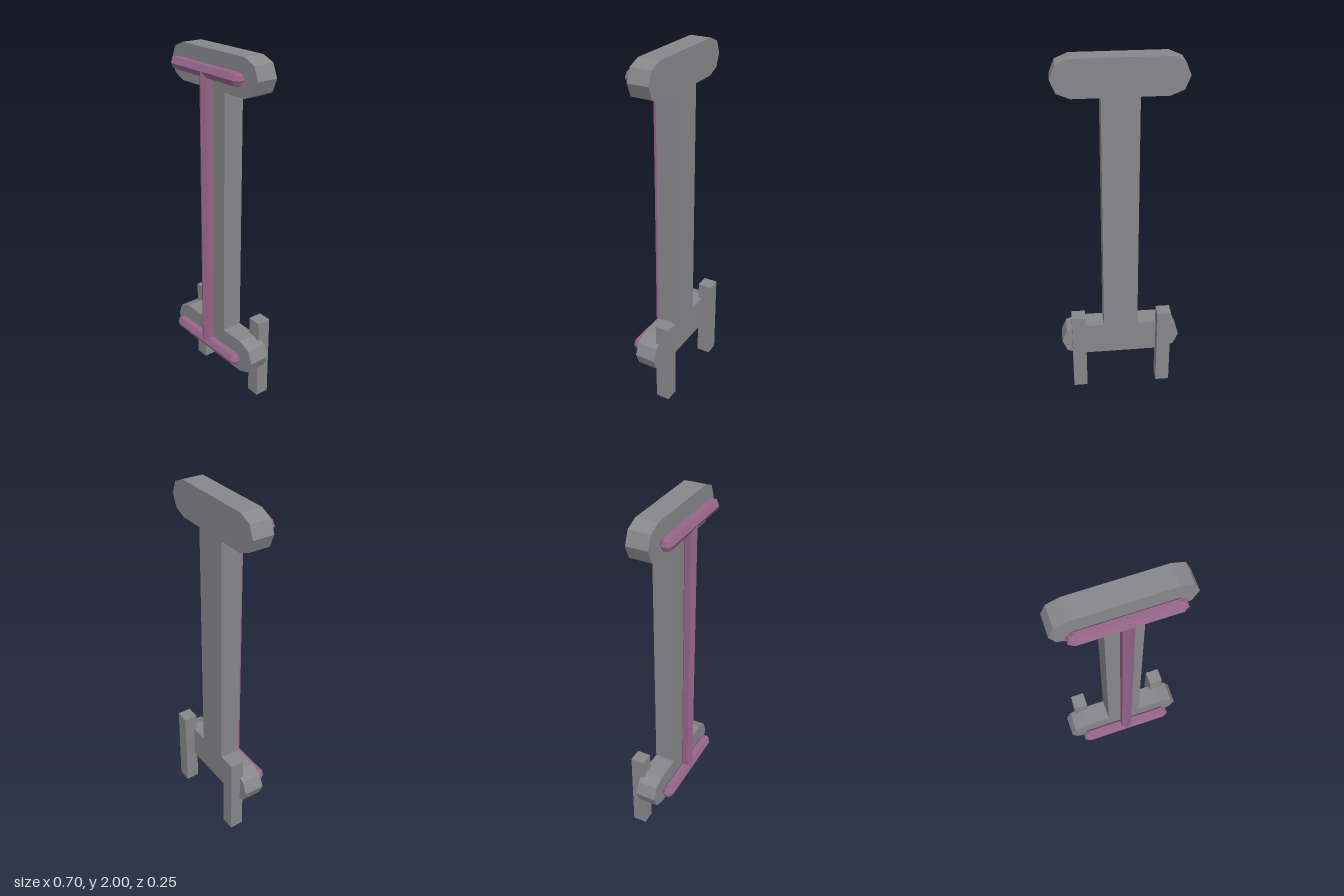
import * as THREE from 'three';

export function createModel() {
  const model = new THREE.Group();
  model.name = 'postWithRails';
  const grey = new THREE.MeshStandardMaterial({ name: 'grey', color: 0x88888b });
  const mauve = new THREE.MeshStandardMaterial({ name: 'mauve', color: 0x96658a });
  grey.flatShading = mauve.flatShading = true;

  const add = (name, geometry, material, x, y, z, parent = model) => {
    const mesh = new THREE.Mesh(geometry, material);
    mesh.name = name;
    mesh.position.set(x, y, z);
    parent.add(mesh);
    return mesh;
  };

  // I-shaped body: a straight column with faceted rounded bars at both ends
  const lowY = 0.3, highY = 1.9, endX = 0.25, r = 0.1;
  const points = [];
  const roundEnd = (side, y) => {
    for (let i = 0; i <= 4; i++) {
      const a = -Math.PI / 2 + i * Math.PI / 4;
      points.push(new THREE.Vector2(side * (endX + r * Math.cos(a)), y + side * r * Math.sin(a)));
    }
  };
  const corner = (x, y) => points.push(new THREE.Vector2(x, y));
  roundEnd(1, lowY);
  corner(0.1, lowY + r);
  corner(0.1, highY - r);
  roundEnd(1, highY);
  roundEnd(-1, highY);
  corner(-0.1, highY - r);
  corner(-0.1, lowY + r);
  roundEnd(-1, lowY);
  const body = new THREE.ExtrudeGeometry(new THREE.Shape(points), { depth: 0.12, bevelEnabled: false });
  add('body', body, grey, 0, 0, -0.07);

  // Two square legs overlapping the back of the lower bar
  for (const side of [-1, 1]) {
    add(side > 0 ? 'leftLeg' : 'rightLeg', new THREE.BoxGeometry(0.08, 0.5, 0.08), grey, side * 0.25, 0.25, -0.09);
  }

  // Hexagonal rails with faceted ball joints in front of the body
  const rails = new THREE.Group();
  rails.name = 'rails';
  rails.position.z = 0.09;
  model.add(rails);
  const tube = 0.035;
  const rod = (length) => new THREE.CylinderGeometry(tube, tube, length, 6);
  const ball = new THREE.SphereGeometry(tube, 6, 4).rotateY(Math.PI / 6);
  add('uprightRail', rod(highY - lowY), mauve, 0, (lowY + highY) / 2, 0, rails);
  for (const y of [lowY, highY]) {
    add('crossRail', rod(endX * 2).rotateZ(Math.PI / 2), mauve, 0, y, 0, rails);
    for (const x of [-endX, 0, endX]) add('railJoint', ball, mauve, x, y, 0, rails);
  }
  return model;
}
